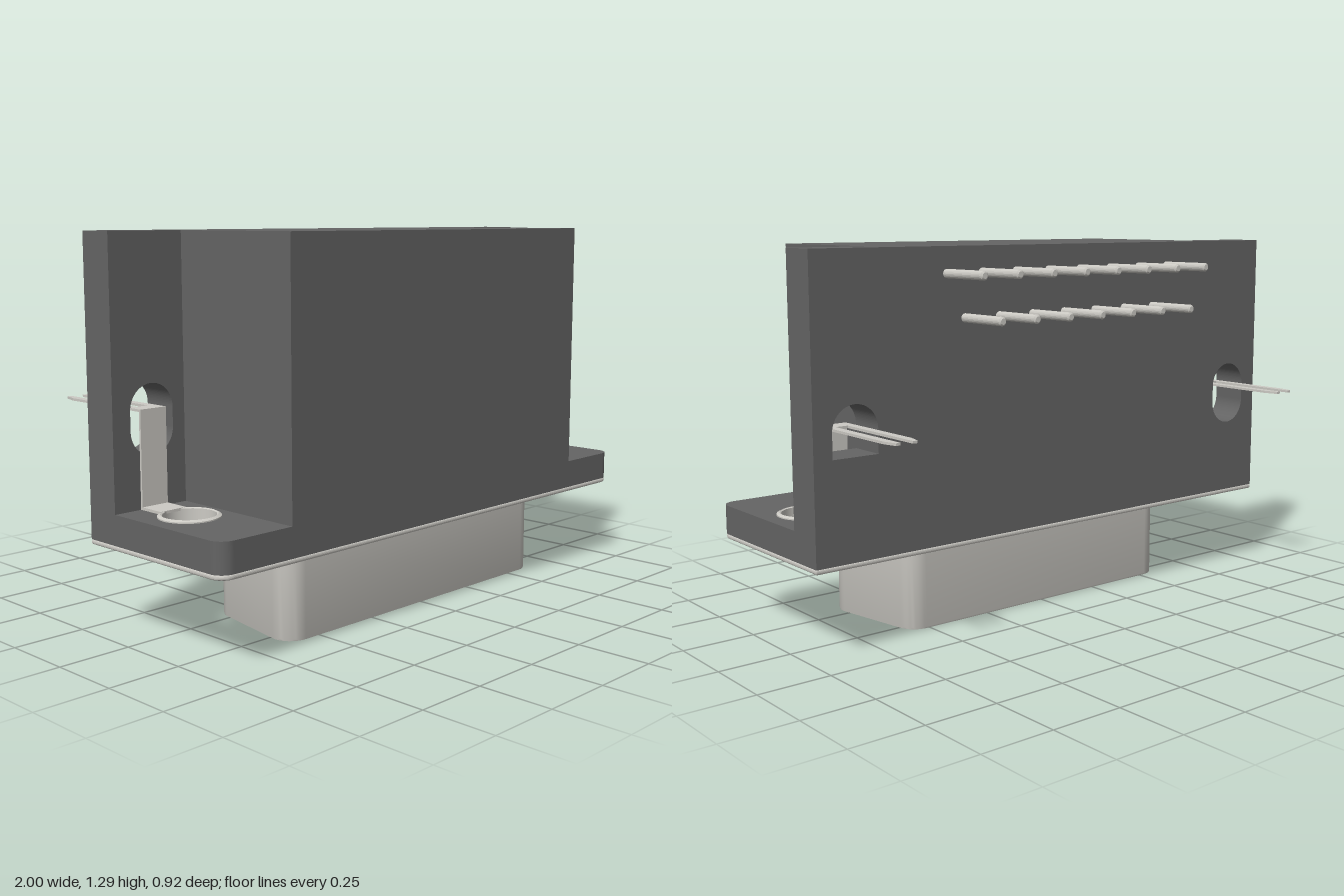
import * as THREE from 'three';
import { toCreasedNormals } from 'three/addons/utils/BufferGeometryUtils.js';

const plastic = new THREE.MeshStandardMaterial({ color: 0x646464 });
const metal = new THREE.MeshStandardMaterial({ color: 0xcccac4 });
const HOLE_X = 0.85, HOLE_Z = 0.13;

function add(parent, name, geometry, material, x = 0, y = 0, z = 0) {
  const mesh = new THREE.Mesh(geometry, material);
  mesh.name = name;
  mesh.position.set(x, y, z);
  parent.add(mesh);
  return mesh;
}

function box(parent, name, material, [x0, x1], [y0, y1], [z0, z1]) {
  return add(parent, name, new THREE.BoxGeometry(x1 - x0, y1 - y0, z1 - z0), material,
    (x0 + x1) / 2, (y0 + y1) / 2, (z0 + z1) / 2);
}

// Horizontal slab from a shape drawn in (x, z)
function slab(shape, y0, y1, bevel = 0) {
  const g = new THREE.ExtrudeGeometry(shape, {
    depth: y1 - y0 - 2 * bevel, curveSegments: 24, bevelEnabled: bevel > 0,
    bevelSize: bevel, bevelThickness: bevel, bevelOffset: -bevel, bevelSegments: 3,
  });
  return g.rotateX(Math.PI / 2).translate(0, y1 - bevel, 0);
}

// Flange outline: square at the back, rounded at the front, two screw holes
function flangeShape(holeRadius) {
  const s = new THREE.Shape();
  const r = 0.05, front = 0.455;
  s.moveTo(-1, -0.18);
  s.lineTo(1, -0.18);
  s.lineTo(1, front - r);
  s.absarc(1 - r, front - r, r, 0, Math.PI / 2, false);
  s.absarc(-1 + r, front - r, r, Math.PI / 2, Math.PI, false);
  s.closePath();
  for (const side of [-1, 1]) {
    s.holes.push(new THREE.Path().absarc(side * HOLE_X, HOLE_Z, holeRadius, 0, Math.PI * 2, true));
  }
  return s;
}

// Rounded D outline in (x, z), grown or shrunk by an offset
function dOutline(offset) {
  const r = 0.07 + offset, tilt = 10, points = [];
  const corners = [
    [0.565, 0.28, -tilt, 90], [-0.565, 0.28, 90, 180 + tilt],
    [-0.516, 0, 180 + tilt, 270], [0.516, 0, 270, 360 - tilt],
  ];
  for (const [cx, cz, from, to] of corners) {
    for (let i = 0; i <= 10; i++) {
      const a = THREE.MathUtils.degToRad(from + (to - from) * i / 10);
      points.push(new THREE.Vector2(cx + r * Math.cos(a), cz + r * Math.sin(a)));
    }
  }
  return points;
}

// Skin through D outlines given as [y, offset]
function loftD(sections) {
  const positions = [], index = [];
  let n = 0;
  for (const [y, offset] of sections) {
    const ring = dOutline(offset);
    n = ring.length;
    for (const p of ring) positions.push(p.x, y, p.y);
  }
  for (let i = 0; i < sections.length - 1; i++) {
    for (let j = 0; j < n; j++) {
      const k = (j + 1) % n;
      const a = i * n + j, b = i * n + k, c = a + n, d = b + n;
      index.push(a, b, c, b, d, c);
    }
  }
  const g = new THREE.BufferGeometry();
  g.setAttribute('position', new THREE.Float32BufferAttribute(positions, 3));
  g.setIndex(index);
  return toCreasedNormals(g, 0.6);
}

function makeHousing() {
  const g = new THREE.Group();
  g.name = 'housing';
  box(g, 'centreBlock', plastic, [-0.72, 0.72], [0.415, 1.29], [-0.05, 0.455]);
  add(g, 'flange', slab(flangeShape(0.09), 0.315, 0.415), plastic);

  // Back wall with one oval slot and one arched slot
  const wall = new THREE.Shape();
  wall.moveTo(-1, 0.415);
  wall.lineTo(1, 0.415);
  wall.lineTo(1, 1.29);
  wall.lineTo(-1, 1.29);
  wall.closePath();
  const r = 0.083, top = 0.732;
  const oval = new THREE.Path();
  oval.absarc(-HOLE_X, top, r, 0, Math.PI, false);
  oval.absarc(-HOLE_X, 0.668, r, Math.PI, Math.PI * 2, false);
  oval.closePath();
  const arch = new THREE.Path();
  arch.moveTo(HOLE_X - r, 0.65);
  arch.lineTo(HOLE_X + r, 0.65);
  arch.absarc(HOLE_X, top, r, 0, Math.PI, false);
  arch.closePath();
  wall.holes.push(oval, arch);
  const wallGeo = new THREE.ExtrudeGeometry(wall, { depth: 0.13, bevelEnabled: false, curveSegments: 24 });
  add(g, 'backWall', wallGeo, plastic, 0, 0, -0.18);
  return g;
}

function makeShell() {
  const g = new THREE.Group();
  g.name = 'metalShell';
  add(g, 'facePlate', slab(flangeShape(0.088), 0.298, 0.316, 0.007), metal);

  // Flared root, straight outer wall, rolled lip, inner wall
  const sections = [];
  for (let i = 0; i <= 6; i++) {
    const a = i / 6 * Math.PI / 2;
    sections.push([0.264 + 0.035 * Math.cos(a), 0.035 * (1 - Math.sin(a))]);
  }
  sections.push([0.008, 0], [0.002, -0.002], [0, -0.008], [0, -0.02], [0.298, -0.02]);
  add(g, 'shroud', loftD(sections), metal);
  add(g, 'insulatorFace', slab(new THREE.Shape(dOutline(-0.019)), 0.28, 0.298), plastic);
  return g;
}

// Eyelet, foot, upright strip and forked board prongs
function makeBracket(side) {
  const g = new THREE.Group();
  g.name = side > 0 ? 'leftBracket' : 'rightBracket';
  g.position.x = side * HOLE_X;

  const profile = [[0.085, 0.299], [0.085, 0.421], [0.09, 0.424], [0.1, 0.419], [0.1, 0.414]]
    .map(([x, y]) => new THREE.Vector2(x, y));
  const eyeletMetal = metal.clone();
  eyeletMetal.side = THREE.DoubleSide;
  add(g, 'eyelet', toCreasedNormals(new THREE.LatheGeometry(profile, 48), 0.5), eyeletMetal, 0, 0, HOLE_Z);
  box(g, 'foot', metal, [-0.05, 0.05], [0.415, 0.424], [-0.05, 0.05]);
  box(g, 'upright', metal, [-0.05, 0.05], [0.415, 0.735], [-0.05, -0.042]);

  const fork = new THREE.Shape([
    [-0.05, -0.042], [-0.05, -0.41], [-0.038, -0.46], [-0.022, -0.46], [-0.022, -0.1],
    [0.022, -0.1], [0.022, -0.46], [0.038, -0.46], [0.05, -0.41], [0.05, -0.042],
  ].map(([x, z]) => new THREE.Vector2(x, z)));
  add(g, 'forkedProngs', slab(fork, 0.728, 0.736), metal);
  return g;
}

// Round pin with chamfered free end at local +y, base at the origin
function pinGeometry(radius, length) {
  const c = radius * 0.35;
  const profile = [[0, 0], [radius, 0], [radius, length - c], [radius - c, length], [0, length]]
    .map(([x, y]) => new THREE.Vector2(x, y));
  return toCreasedNormals(new THREE.LatheGeometry(profile, 20), 0.6);
}

// Fifteen contacts in staggered rows of eight and seven
function makePins() {
  const g = new THREE.Group();
  g.name = 'contacts';
  const matingPin = pinGeometry(0.02, 0.25).rotateX(Math.PI);
  const boardPin = pinGeometry(0.015, 0.21).rotateX(-Math.PI / 2);
  for (let i = 0; i < 15; i++) {
    const x = (i - 7) * 0.071, outer = i % 2 === 0;
    add(g, 'matingPin', matingPin, metal, x, 0.29, outer ? 0.213 : 0.067);
    add(g, 'boardPin', boardPin, metal, x, outer ? 1.203 : 1.058, -0.17);
  }
  return g;
}

export function createModel() {
  const model = new THREE.Group();
  model.name = 'rightAngleConnector';
  model.add(makeHousing(), makeShell(), makeBracket(-1), makeBracket(1), makePins());
  return model;
}
